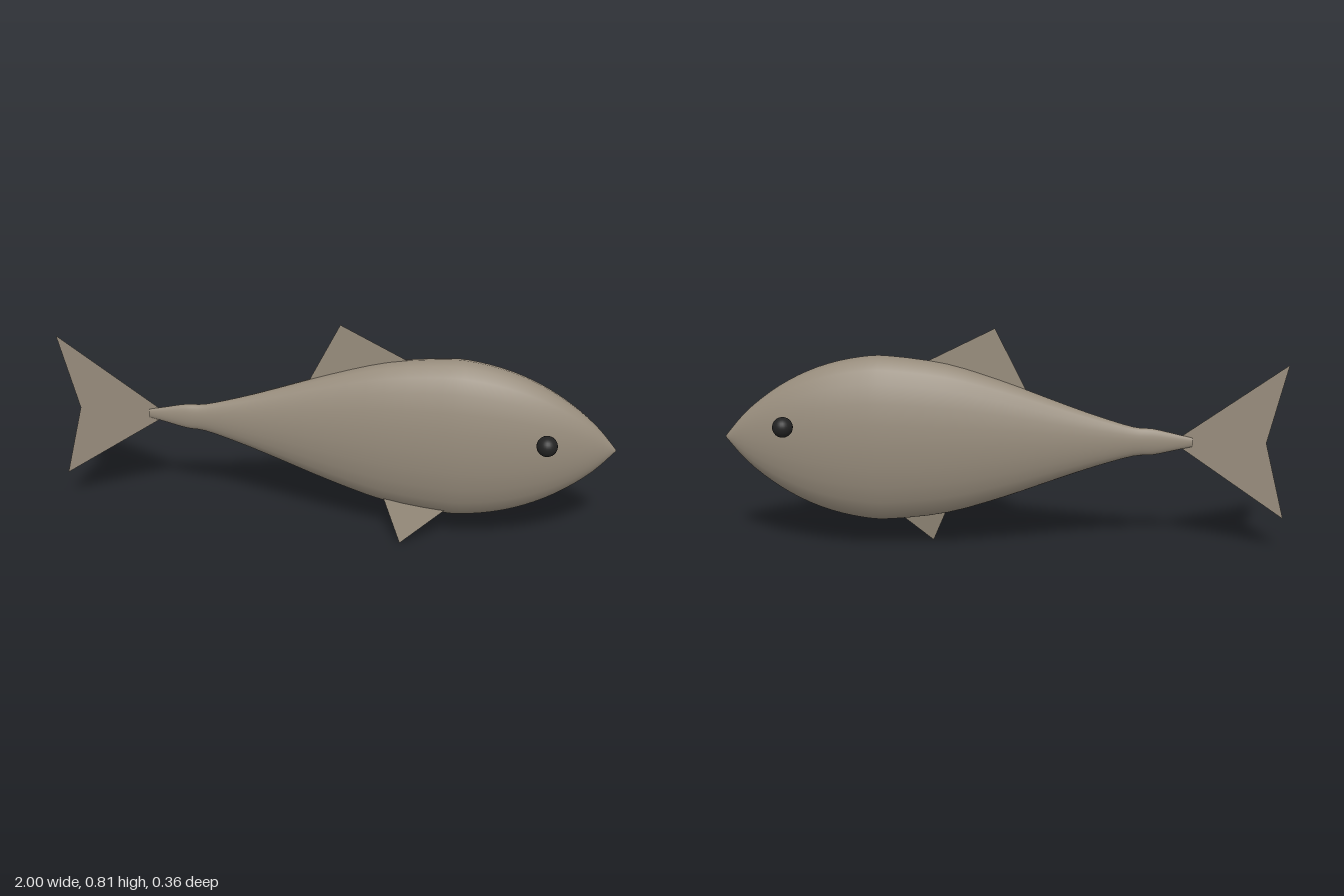
import * as THREE from 'three';

const skin = new THREE.MeshStandardMaterial({ name: 'skin', color: 0x968b7b, side: THREE.DoubleSide });
const eyeBlack = new THREE.MeshStandardMaterial({ name: 'eye black', color: 0x222222 });

const MID_Y = 0.407;

// Flat fin outlined by x, y corners
function fin(name, corners) {
  const shape = new THREE.Shape(corners.map(([x, y]) => new THREE.Vector2(x, y)));
  const mesh = new THREE.Mesh(new THREE.ShapeGeometry(shape), skin);
  mesh.name = name;
  return mesh;
}

export function createModel() {
  const group = new THREE.Group();
  group.name = 'fish';

  // Body: a lathe along x, flattened sideways; profile is [radius, x]
  const profile = [
    [0.016, -0.67], [0.03, -0.61], [0.048, -0.53], [0.054, -0.46], [0.093, -0.33],
    [0.139, -0.2], [0.213, 0], [0.274, 0.2], [0.301, 0.4], [0.298, 0.5],
    [0.272, 0.62], [0.228, 0.73], [0.168, 0.83], [0.09, 0.925], [0.002, 1],
  ].map(([r, x]) => new THREE.Vector2(r, x));
  const points = new THREE.SplineCurve(profile).getPoints(42);
  const bodyGeometry = new THREE.LatheGeometry(points, 24);
  bodyGeometry.rotateZ(-Math.PI / 2);
  bodyGeometry.scale(1, 1, 0.417);
  const body = new THREE.Mesh(bodyGeometry, skin);
  body.name = 'body';
  body.position.y = MID_Y;
  group.add(body);

  // Fins
  group.add(fin('tailFin', [[-0.6, MID_Y], [-1, 0.69], [-0.93, MID_Y], [-1, 0.128]]));
  group.add(fin('dorsalFin', [[-0.1, 0.55], [0.03, 0.81], [0.31, 0.67]]));

  // Belly fin leans outward below the body
  const bellyFin = fin('bellyFin', [[0.188, 0.18], [0.262, 0], [0.44, 0.155]]);
  const pos = bellyFin.geometry.attributes.position;
  for (let i = 0; i < pos.count; i++) pos.setZ(i, 0.082 - 0.225 * pos.getY(i));
  bellyFin.geometry.computeVertexNormals();
  group.add(bellyFin);

  // Eyes
  for (const side of [1, -1]) {
    const eye = new THREE.Mesh(new THREE.SphereGeometry(0.036, 24, 16), eyeBlack);
    eye.name = side > 0 ? 'frontEye' : 'backEye';
    eye.position.set(0.764, 0.48, side * 0.144);
    group.add(eye);
  }

  return group;
}
